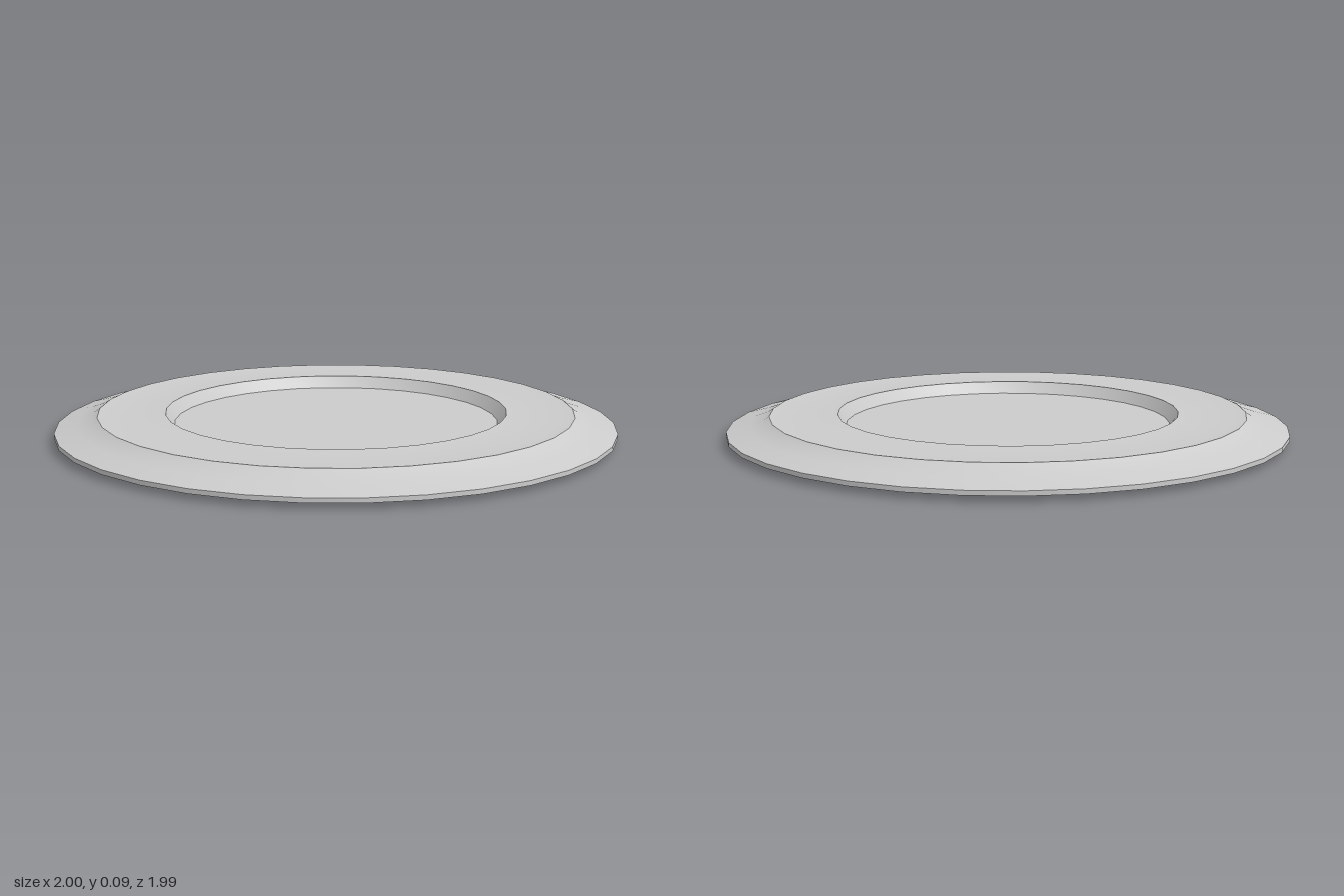
import * as THREE from 'three';
import { toCreasedNormals } from 'three/addons/utils/BufferGeometryUtils.js';

const SIDES = 34;

// Profile as [radius, height], from the underside centre round to the top centre
const profile = [
  [0, 0], [1, 0.02],                                    // shallow underside
  [1, 0.036], [0.92, 0.057], [0.87, 0.074], [0.85, 0.087], // thin lip and curved outer slope
  [0.82, 0.084], [0.65, 0.084], [0.61, 0.087],          // raised ring with a faint recess
  [0.58, 0.045], [0, 0.045],                            // inner wall and sunken floor
];

export function createModel() {
  const group = new THREE.Group();
  group.name = 'disc';

  const points = profile.map(([r, y]) => new THREE.Vector2(r, y));
  const lathe = new THREE.LatheGeometry(points, SIDES, Math.PI / 2);
  const plate = new THREE.Mesh(
    toCreasedNormals(lathe, 0.4),
    new THREE.MeshStandardMaterial({ color: 0xcccccc })
  );
  plate.name = 'plate';
  group.add(plate);
  return group;
}
